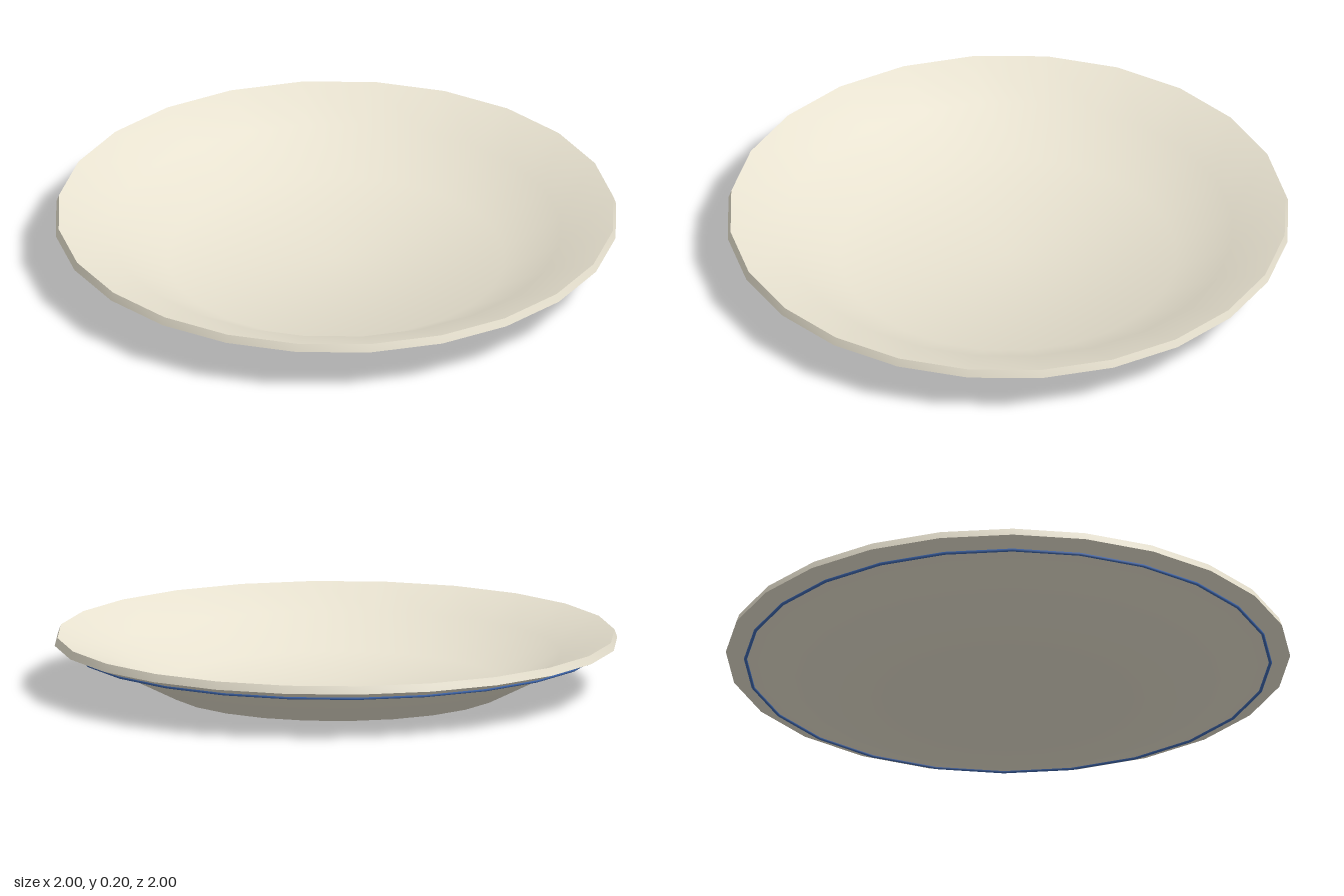
import * as THREE from 'three';
import { toCreasedNormals } from 'three/addons/utils/BufferGeometryUtils.js';

const SIDES = 24;

export function createModel() {
  const model = new THREE.Group();
  model.name = 'plate';

  const glaze = new THREE.MeshStandardMaterial({ color: 0xe8e2d0 });
  const blue = new THREE.MeshStandardMaterial({ color: 0x3f68b0 });

  // Closed section: underside and outer wall, narrow lip, then the inner wall and well
  const profile = [
    [0, 0], [0.6, 0], [0.8, 0.1], [1, 0.172],
    [0.99, 0.2], [0.8, 0.13], [0.6, 0.02], [0, 0.02],
  ].map(([r, y]) => new THREE.Vector2(r, y));
  const dish = new THREE.Mesh(
    toCreasedNormals(new THREE.LatheGeometry(profile, SIDES), Math.PI / 4),
    glaze,
  );
  dish.name = 'dish';
  model.add(dish);

  // Fine decorative ring around the outer wall
  const ringGeometry = new THREE.TorusGeometry(0.93, 0.006, 6, SIDES);
  ringGeometry.rotateX(Math.PI / 2);
  const ring = new THREE.Mesh(ringGeometry, blue);
  ring.name = 'rimStripe';
  ring.position.y = 0.145;
  model.add(ring);

  return model;
}
